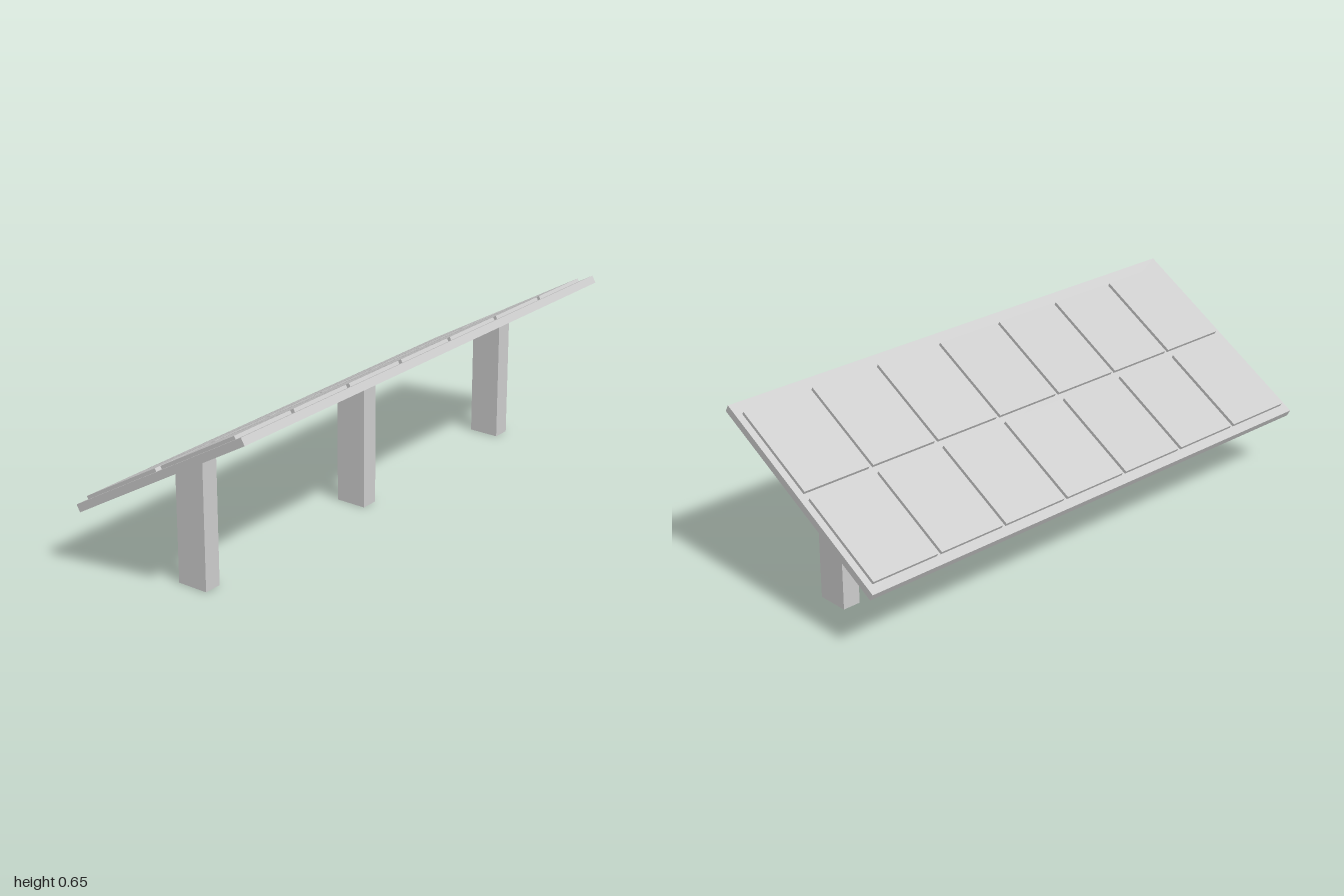
import * as THREE from 'three';

const material = new THREE.MeshStandardMaterial({ color: 0xcccccc, flatShading: true });

function add(parent, name, geometry, x, y, z) {
  const mesh = new THREE.Mesh(geometry, material);
  mesh.name = name;
  mesh.position.set(x, y, z);
  parent.add(mesh);
  return mesh;
}

export function createModel() {
  const model = new THREE.Group();
  model.name = 'solarPanelArray';

  // Tilted board, high at the front, carrying two rows of seven panels
  const tilted = new THREE.Group();
  tilted.name = 'tiltedArray';
  tilted.position.y = 0.429;
  tilted.rotation.x = -Math.PI / 6;
  model.add(tilted);

  add(tilted, 'board', new THREE.BoxGeometry(2, 0.028, 0.819), 0, 0, 0);

  const panel = new THREE.BoxGeometry(0.265, 0.012, 0.354);
  for (const z of [0.184, -0.198]) {
    for (let i = -3; i <= 3; i++) add(tilted, 'panel', panel, i * 0.281, 0.02, z);
  }

  // Posts with tops cut to the slope of the board's underside
  const side = new THREE.Shape([
    new THREE.Vector2(-0.043, 0),
    new THREE.Vector2(0.073, 0),
    new THREE.Vector2(0.073, 0.455),
    new THREE.Vector2(-0.043, 0.388),
  ]);
  const width = 0.066;
  const post = new THREE.ExtrudeGeometry(side, { depth: width, bevelEnabled: false });
  post.translate(0, 0, -width / 2);
  post.rotateY(-Math.PI / 2);
  for (const x of [-0.837, -0.001, 0.835]) add(model, 'post', post, x, 0, 0);

  return model;
}
